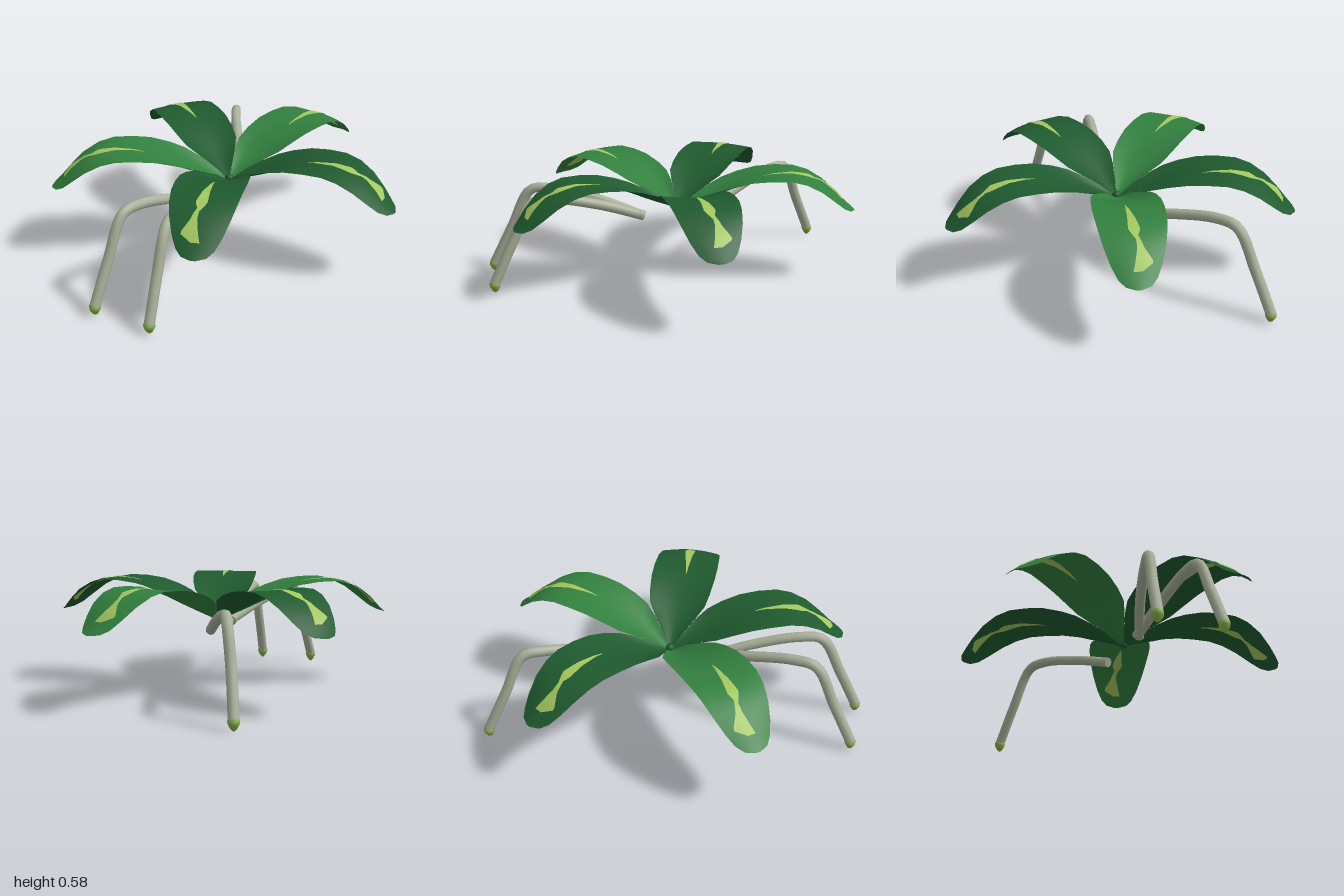
import * as THREE from 'three';

const material = (name, color, side = THREE.FrontSide) => {
  const m = new THREE.MeshStandardMaterial({ color, side });
  m.name = name;
  return m;
};

// Leaf stations: distance from crown, midrib height, half width, rise of the edges
const STATIONS = [
  [0.00, 0.360, 0.006, 0.000],
  [0.08, 0.395, 0.058, 0.030],
  [0.15, 0.425, 0.108, 0.042],
  [0.22, 0.458, 0.148, 0.043],
  [0.30, 0.498, 0.164, 0.034],
  [0.40, 0.542, 0.174, 0.018],
  [0.50, 0.566, 0.176, 0.006],
  [0.60, 0.574, 0.172, 0.000],
  [0.68, 0.563, 0.163, -0.008],
  [0.76, 0.530, 0.146, -0.017],
  [0.83, 0.478, 0.120, -0.022],
  [0.88, 0.430, 0.092, -0.018],
  [0.915, 0.399, 0.060, -0.008],
  [0.935, 0.385, 0.012, 0.000],
];

// Linear lookup in a table whose first column is the distance s
function lookup(table, s) {
  let i = 1;
  while (i < table.length - 1 && s > table[i][0]) i++;
  const a = table[i - 1], b = table[i];
  const f = (s - a[0]) / (b[0] - a[0]);
  return a.map((v, k) => v + (b[k] - v) * f);
}

// Sheet lying on the leaf surface, between the side limits given for each row
function leafSheet(rows, limits, columns, lift) {
  const pos = [], index = [];
  rows.forEach((s, r) => {
    const [, mid, half, rise] = lookup(STATIONS, s);
    const [t0, t1] = limits(s, half);
    for (let c = 0; c <= columns; c++) {
      const t = t0 + (t1 - t0) * c / columns;
      pos.push(s, mid + rise * (t / half) ** 2 + lift, t);
      if (r && c) {
        const d = r * (columns + 1) + c, b = d - columns - 1;
        index.push(b - 1, b, d, b - 1, d, d - 1);
      }
    }
  });
  const g = new THREE.BufferGeometry();
  g.setAttribute('position', new THREE.Float32BufferAttribute(pos, 3));
  g.setIndex(index);
  g.computeVertexNormals();
  return g;
}

// Variegated streak outlines: distance, one side, other side
const STREAKS = [
  [[0.45, 0.008, 0.012], [0.60, -0.018, 0.018], [0.69, -0.034, 0.024], [0.74, -0.012, -0.004]],
  [[0.70, -0.012, -0.004], [0.78, -0.040, -0.008], [0.835, -0.080, 0.006], [0.87, -0.022, 0.020]],
];

export function createModel() {
  const model = new THREE.Group();
  model.name = 'plant';
  const darkLeaf = material('dark leaf green', 0x1f5a2f, THREE.DoubleSide);
  const lightLeaf = material('light leaf green', 0x32803f, THREE.DoubleSide);
  const streakMat = material('yellow green streak', 0xa3c75f, THREE.DoubleSide);
  const rootMat = material('grey root', 0xa9b09a);
  const tipMat = material('root tip green', 0x8ab04a);

  const add = (parent, name, geometry, mat) => {
    const mesh = new THREE.Mesh(geometry, mat);
    mesh.name = name;
    parent.add(mesh);
    return mesh;
  };

  // Rosette of five leaves
  const leafGeo = leafSheet(STATIONS.map(r => r[0]), (s, half) => [-half, half], 8, 0);
  for (let i = 0; i < 5; i++) {
    const leaf = new THREE.Group();
    leaf.name = 'leaf' + (i + 1);
    leaf.position.set(-0.05, 0, -0.03);
    leaf.rotation.y = -THREE.MathUtils.degToRad(8.5 + 72 * i);
    add(leaf, 'blade', leafGeo, i === 2 || i === 4 ? lightLeaf : darkLeaf);
    const flip = i === 1 || i === 2 ? -1 : 1;
    for (const outline of STREAKS) {
      const start = outline[0][0], end = outline[3][0];
      const rows = Array.from({ length: 17 }, (_, k) => start + (end - start) * k / 16);
      const limits = s => {
        const [, a, b] = lookup(outline, s);
        return flip > 0 ? [a, b] : [-b, -a];
      };
      for (const lift of [0.004, -0.004]) add(leaf, 'streak', leafSheet(rows, limits, 3, lift), streakMat);
    }
    model.add(leaf);
  }

  // Small crown closing the centre
  const crown = add(model, 'crown', new THREE.SphereGeometry(0.024, 10, 8), darkLeaf);
  crown.position.set(-0.05, 0.372, -0.03);

  // Arching aerial roots with pointed green tips
  const R = 0.027;
  const roots = [
    [[-0.075, 0.335, 0.16], [-0.075, 0.42, 0.40], [-0.08, 0.475, 0.64], [-0.08, 0.465, 0.76], [-0.085, 0.26, 0.87], [-0.088, 0.05, 0.97]],
    [[-0.06, 0.335, 0.16], [-0.18, 0.42, 0.38], [-0.28, 0.475, 0.60], [-0.325, 0.465, 0.71], [-0.365, 0.26, 0.81], [-0.40, 0.05, 0.91]],
    [[-0.05, 0.335, -0.20], [-0.14, 0.42, -0.43], [-0.235, 0.475, -0.66], [-0.27, 0.465, -0.77], [-0.315, 0.26, -0.87], [-0.35, 0.05, -0.97]],
  ];
  const tipGeo = new THREE.LatheGeometry(
    [[0, 0], [0.015, 0.012], [0.028, 0.036], [0.029, 0.05], [0.016, 0.076], [0, 0.088]].map(p => new THREE.Vector2(...p)), 10);
  roots.forEach((points, i) => {
    const root = new THREE.Group();
    root.name = 'root' + (i + 1);
    const curve = new THREE.CatmullRomCurve3(points.map(p => new THREE.Vector3(...p)));
    add(root, 'rootStem', new THREE.TubeGeometry(curve, 32, R, 10), rootMat);
    const cap = add(root, 'rootEnd', new THREE.CircleGeometry(R, 10), rootMat);
    cap.position.copy(curve.getPoint(0));
    cap.lookAt(cap.position.clone().sub(curve.getTangent(0)));
    const tip = add(root, 'rootTip', tipGeo, tipMat);
    const [x, , z] = points[points.length - 1];
    tip.position.set(x, 0, z);
    model.add(root);
  });
  return model;
}
